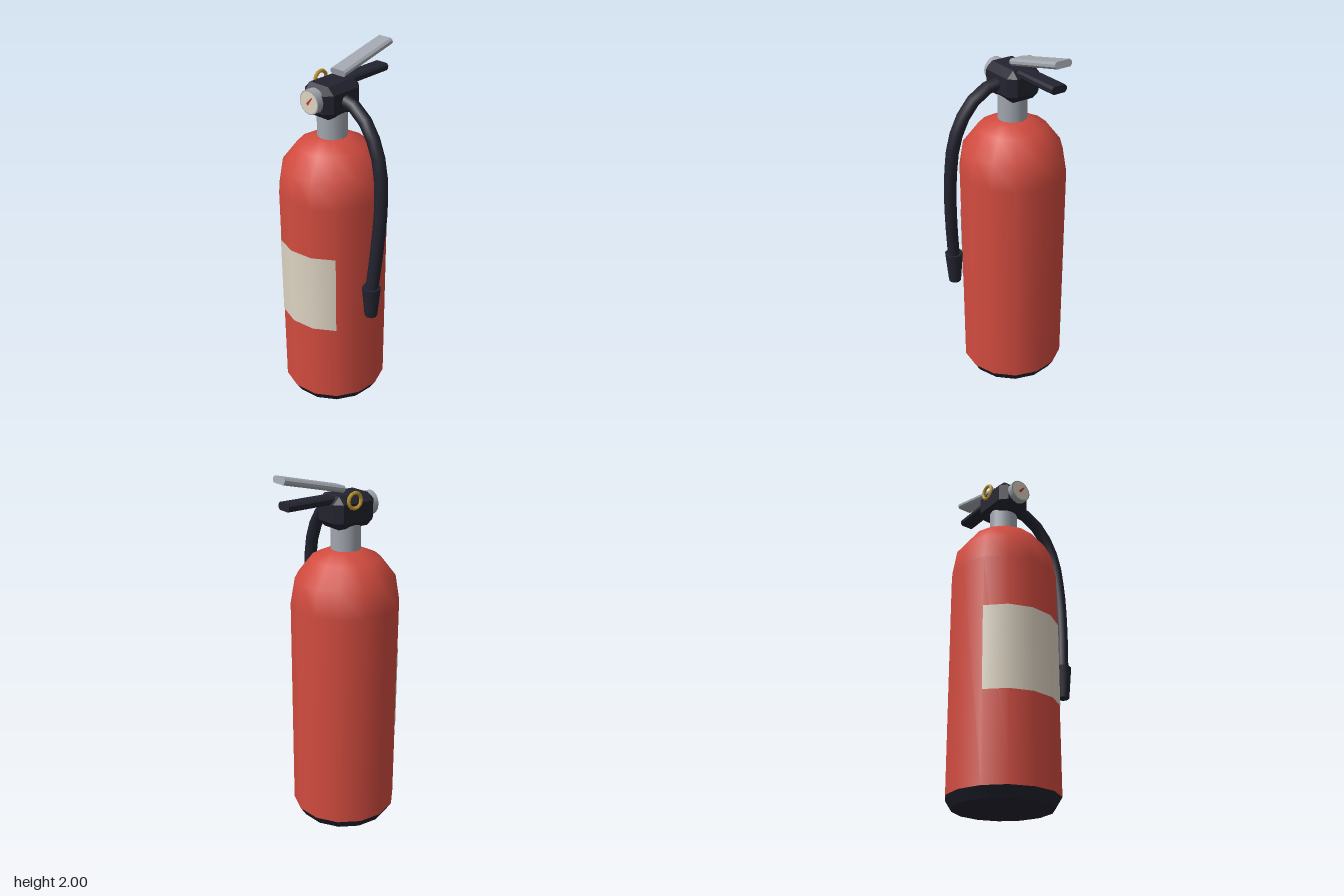
import * as THREE from 'three';
import { ConvexGeometry } from 'three/addons/geometries/ConvexGeometry.js';

const mat = (name, color, extra = {}) =>
  Object.assign(new THREE.MeshStandardMaterial({ color, ...extra }), { name });

export function createModel() {
  const red = mat('red paint', 0xd14b3f);
  const black = mat('black rubber', 0x22232f);
  const steel = mat('steel', 0xa0a5ad);
  const cream = mat('cream label', 0xddd3c2, { side: THREE.DoubleSide });
  const gold = mat('brass', 0xbd942c);
  const needleRed = mat('needle red', 0xc0392b);

  const model = new THREE.Group();
  model.name = 'fireExtinguisher';
  const add = (name, geometry, material, x = 0, y = 0, z = 0) => {
    const mesh = new THREE.Mesh(geometry, material);
    mesh.name = name;
    mesh.position.set(x, y, z);
    model.add(mesh);
    return mesh;
  };

  // Tank axis, radius and facet layout
  const X = -0.06, Z = 0.06, R = 0.294, SIDES = 14;
  const step = (Math.PI * 2) / SIDES;
  const start = 0.347;

  // Tank with domed shoulder
  const profile = [[R, 0.055], [R, 1.28], [0.27, 1.42], [0.185, 1.53], [0.08, 1.577], [0, 1.577]]
    .map(([r, y]) => new THREE.Vector2(r, y));
  add('tank', new THREE.LatheGeometry(profile, SIDES, start), red, X, 0, Z);

  // Tapered foot
  add('base', new THREE.CylinderGeometry(R, 0.26, 0.055, SIDES, 1, false, start), black, X, 0.0275, Z);

  // Label wrapped over four facets of the tank
  add('label', new THREE.CylinderGeometry(R + 0.003, R + 0.003, 0.46, 4, 1, true, start - 3 * step, 4 * step),
    cream, X, 0.76, Z);

  // Neck
  add('neck', new THREE.CylinderGeometry(0.08, 0.08, 0.15, 16), steel, X, 1.64, Z);

  // Valve block: box with every edge chamfered
  const h = [0.1, 0.086, 0.13], c = 0.038, corners = [];
  for (const sx of [-1, 1]) for (const sy of [-1, 1]) for (const sz of [-1, 1])
    for (let k = 0; k < 3; k++) {
      const p = h.map((v, i) => (i === k ? v : v - c));
      corners.push(new THREE.Vector3(sx * p[0], sy * p[1], sz * p[2]));
    }
  add('valveBlock', new ConvexGeometry(corners), black, X, 1.785, Z);

  // Pressure gauge
  const gaugeY = 1.797;
  add('gaugeBody', new THREE.CylinderGeometry(0.064, 0.064, 0.045, 16), steel, X, gaugeY, 0.202)
    .rotation.x = Math.PI / 2;
  add('gaugeFace', new THREE.CircleGeometry(0.058, 16), cream, X, gaugeY, 0.2265);
  const needle = new THREE.Shape([[-0.008, -0.016], [0.008, -0.016], [0.003, 0.038], [-0.003, 0.038]]
    .map(([x, y]) => new THREE.Vector2(x, y)));
  add('gaugeNeedle', new THREE.ShapeGeometry(needle), needleRed, X, gaugeY, 0.229).rotation.z = -0.7;

  // Flat bars with chamfered long edges, centred on the origin
  const bar = (w, t, length) => {
    const a = w / 2, b = t / 2, e = 0.011;
    const shape = new THREE.Shape([[a, b - e], [a - e, b], [e - a, b], [-a, b - e],
      [-a, e - b], [e - a, -b], [a - e, -b], [a, e - b]].map(([x, y]) => new THREE.Vector2(x, y)));
    return new THREE.ExtrudeGeometry(shape, { depth: length, bevelEnabled: false })
      .translate(0, 0, -length / 2);
  };
  add('squeezeLever', bar(0.1, 0.035, 0.375), steel, X, 1.94, -0.165).rotation.x = 0.231;
  add('carryHandle', bar(0.09, 0.04, 0.345), black, X, 1.849, -0.15);

  // Safety pin ring
  add('pinRing', new THREE.TorusGeometry(0.04, 0.01, 6, 12), gold, -0.16, 1.848, 0.038)
    .rotation.y = Math.PI / 2;

  // Hose and nozzle
  const path = new THREE.CatmullRomCurve3([
    [0, 1.788, 0.06], [0.1, 1.768, 0.066], [0.2, 1.69, 0.076], [0.282, 1.53, 0.087],
    [0.311, 1.3, 0.1], [0.306, 1.05, 0.118], [0.287, 0.78, 0.135]].map(p => new THREE.Vector3(...p)));
  add('hose', new THREE.TubeGeometry(path, 12, 0.035, 8), black);
  add('nozzle', new THREE.CylinderGeometry(0.051, 0.035, 0.18, 8), black, 0.287, 0.728, 0.135);

  return model;
}
